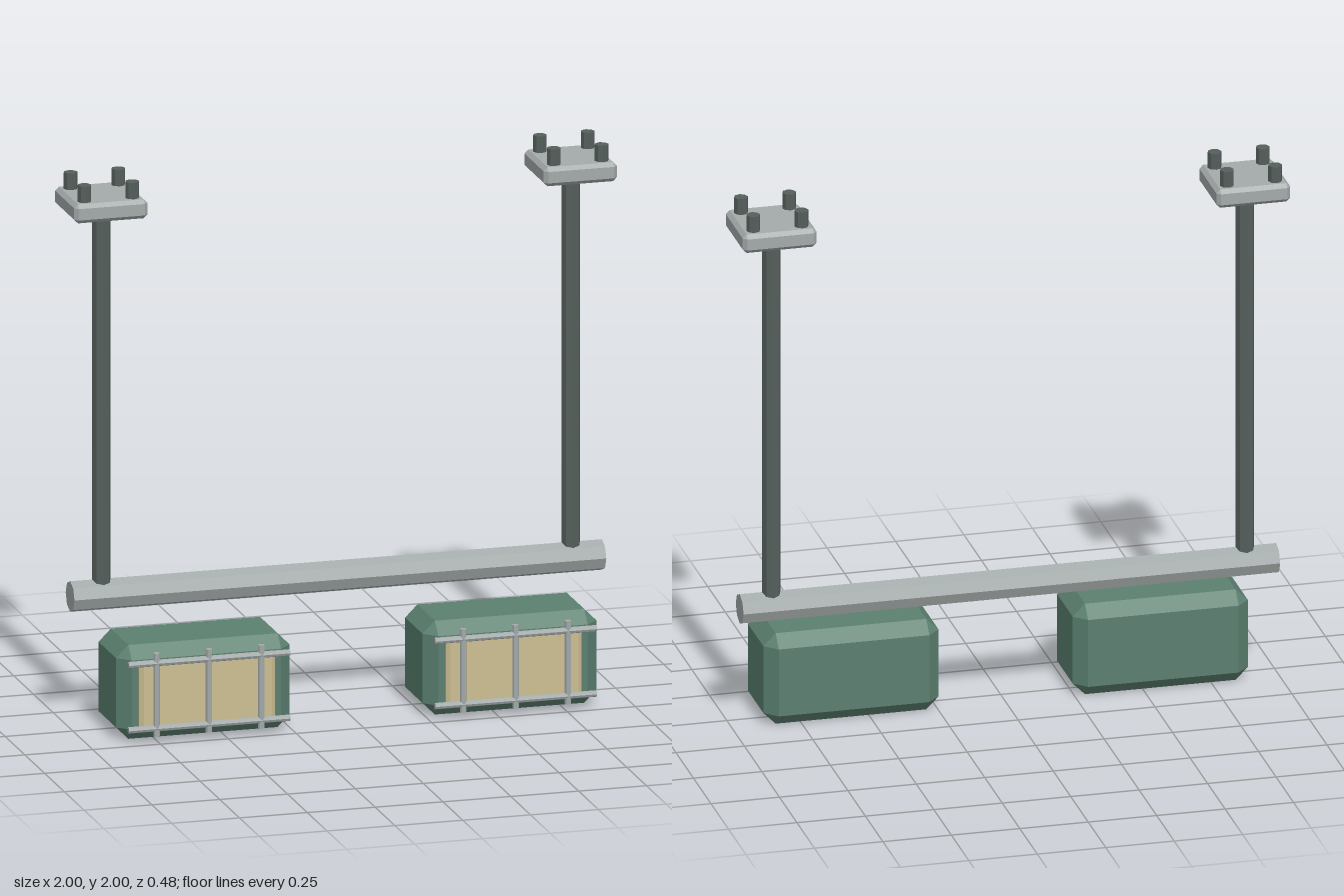
import * as THREE from 'three';
import { ConvexGeometry } from 'three/addons/geometries/ConvexGeometry.js';

const material = (name, color) => {
  const m = new THREE.MeshStandardMaterial({ color, flatShading: true });
  m.name = name;
  return m;
};

// Box with every edge and corner cut by c
function chamferBox(w, h, d, c) {
  const points = [];
  for (const x of [-w / 2, w / 2])
    for (const y of [-h / 2, h / 2])
      for (const z of [-d / 2, d / 2]) {
        const ix = x - Math.sign(x) * c, iy = y - Math.sign(y) * c, iz = z - Math.sign(z) * c;
        points.push(new THREE.Vector3(x, iy, iz), new THREE.Vector3(ix, y, iz), new THREE.Vector3(ix, iy, z));
      }
  return new ConvexGeometry(points);
}

function add(parent, name, geometry, mat, x, y, z) {
  const mesh = new THREE.Mesh(geometry, mat);
  mesh.name = name;
  mesh.position.set(x, y, z);
  parent.add(mesh);
  return mesh;
}

export function createModel() {
  const steel = material('light steel', 0xa3abaa);
  const dark = material('dark steel', 0x555f5c);
  const green = material('green paint', 0x5b8070);
  const tan = material('tan lens', 0xcdbf92);

  const model = new THREE.Group();
  model.name = 'hangingLampBar';
  const barZ = -0.105;

  // Crossbar
  const bar = add(model, 'crossbar', new THREE.CylinderGeometry(0.056, 0.056, 1.96, 8), steel, 0, 0.465, barZ);
  bar.rotation.z = Math.PI / 2;

  // Lens plan: flat front with softened vertical edges
  const plan = [[-0.25, 0.17], [0.25, 0.17], [0.25, 0.203], [0.236, 0.214], [0.2, 0.22],
    [-0.2, 0.22], [-0.236, 0.214], [-0.25, 0.203]];
  const lensPoints = plan.flatMap(([x, z]) => [0.055, 0.287].map(y => new THREE.Vector3(x, y, z)));
  const lensGeo = new ConvexGeometry(lensPoints);

  const housingGeo = chamferBox(0.64, 0.345, 0.312, 0.045);
  const plateGeo = chamferBox(0.27, 0.07, 0.27, 0.014);
  const rodGeo = new THREE.CylinderGeometry(0.034, 0.034, 1.39, 8);
  const boltGeo = new THREE.CylinderGeometry(0.025, 0.025, 0.07, 8);
  const railGeo = new THREE.CylinderGeometry(0.012, 0.012, 0.595, 8).rotateZ(Math.PI / 2);
  const guardGeo = new THREE.CylinderGeometry(0.012, 0.012, 0.305, 8);

  for (const side of [-1, 1]) {
    // Hanger: rod, ceiling plate and four bolts
    const hanger = new THREE.Group();
    hanger.name = side > 0 ? 'leftHanger' : 'rightHanger';
    hanger.position.set(side * 0.865, 0, barZ);
    model.add(hanger);
    add(hanger, 'rod', rodGeo, dark, 0, 1.185, 0);
    add(hanger, 'ceilingPlate', plateGeo, steel, 0, 1.905, 0);
    for (const x of [-0.088, 0.088])
      for (const z of [-0.088, 0.088]) add(hanger, 'bolt', boltGeo, dark, x, 1.965, z);

    // Lamp: housing, lens and guard cage
    const lamp = new THREE.Group();
    lamp.name = side > 0 ? 'leftLamp' : 'rightLamp';
    lamp.position.x = side * 0.565;
    model.add(lamp);
    add(lamp, 'housing', housingGeo, green, 0, 0.1725, 0.04);
    add(lamp, 'lens', lensGeo, tan, 0, 0, 0);
    for (const y of [0.053, 0.293]) add(lamp, 'guardRail', railGeo, steel, 0, y, 0.227);
    for (const x of [-0.193, 0, 0.193]) add(lamp, 'guardBar', guardGeo, steel, x, 0.177, 0.227);
  }
  return model;
}
